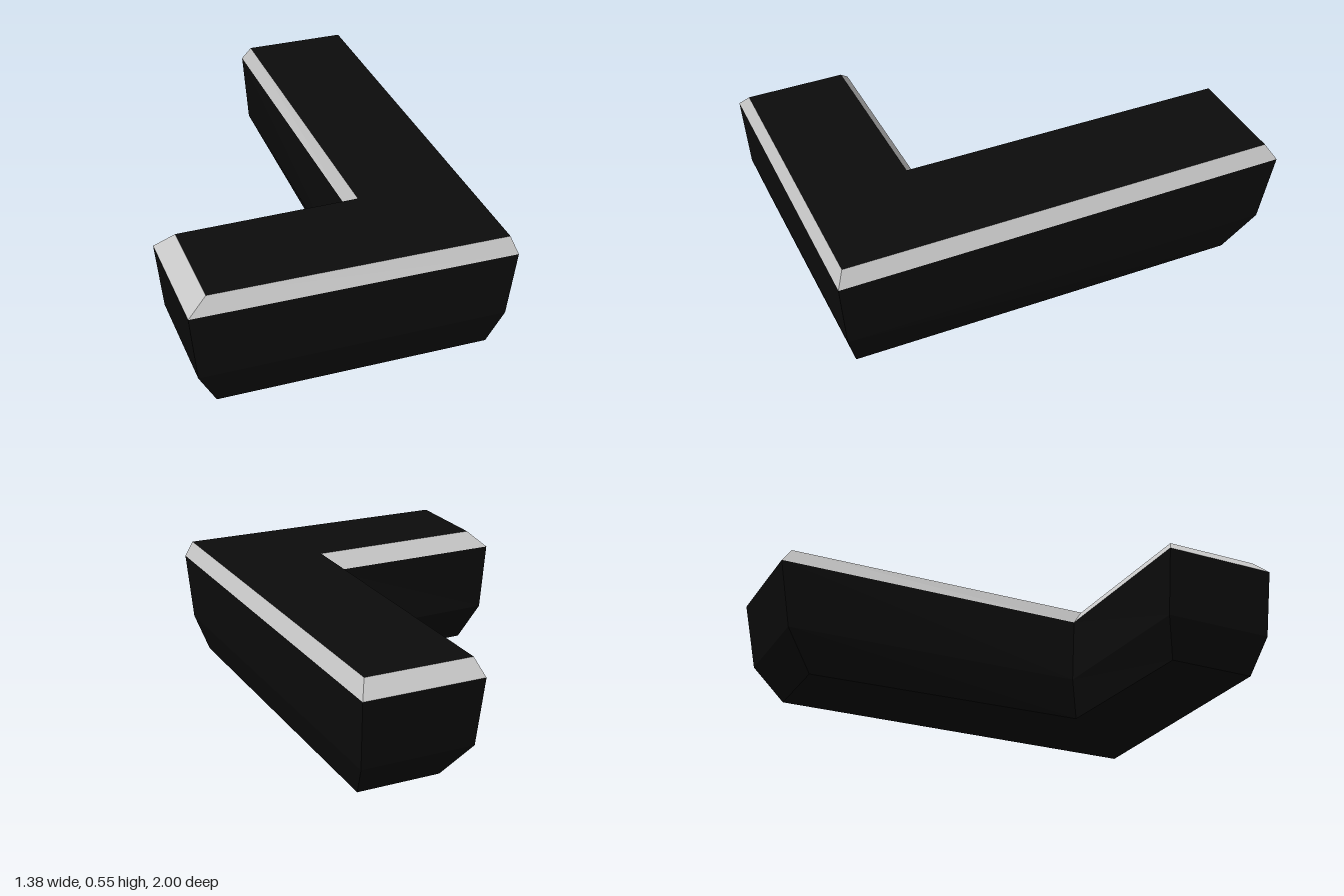
import * as THREE from 'three';

// L-shaped outlines at rising heights; each lists [x, z] in the order:
// short arm inner end, inner corner, long arm inner end,
// long arm outer end, outer corner, short arm outer end
const levels = [
  { y: 0, pts: [[-0.57, 0.53], [0.21, 0.49], [0.255, -0.81], [0.62, -0.81], [0.61, 0.93], [-0.57, 0.93]] },
  { y: 0.165, pts: [[-0.655, 0.47], [0.145, 0.44], [0.17, -0.945], [0.665, -0.945], [0.665, 0.975], [-0.655, 0.975]] },
  { y: 0.47, pts: [[-0.69, 0.47], [0.155, 0.46], [0.155, -1], [0.68, -1], [0.685, 1], [-0.69, 0.99]] },
  { y: 0.545, pts: [[-0.61, 0.525], [0.18, 0.515], [0.185, -0.95], [0.65, -0.95], [0.655, 0.97], [-0.61, 0.96]] },
];
const rings = levels.map(({ y, pts }) => pts.map(([x, z]) => [x, y, z]));

// Quad as two triangles
const quad = (a, b, c, d) => [a, b, c, a, c, d];

// Band of walls between two outlines
const band = (low, high) => low.flatMap((p, i) => {
  const j = (i + 1) % low.length;
  return quad(p, high[i], high[j], low[j]);
});

// Flat L-shaped lid made of one quad per arm
const lid = (r, faceUp) => [[0, 1, 4, 5], [1, 2, 3, 4]].flatMap((q) =>
  quad(...(faceUp ? [...q].reverse() : q).map((k) => r[k])));

function facetMesh(name, corners, color) {
  const geometry = new THREE.BufferGeometry();
  geometry.setAttribute('position', new THREE.Float32BufferAttribute(corners.flat(), 3));
  geometry.computeVertexNormals();
  const mesh = new THREE.Mesh(geometry, new THREE.MeshStandardMaterial({ color, flatShading: true }));
  mesh.name = name;
  return mesh;
}

export function createModel() {
  const group = new THREE.Group();
  group.name = 'cornerBlock';
  const dark = 0x0c0c0c;

  // Tapered underside and walls
  group.add(facetMesh('body', [
    ...lid(rings[0], false),
    ...band(rings[0], rings[1]),
    ...band(rings[1], rings[2]),
  ], dark));

  // Pale bevelled rim and dark top
  group.add(facetMesh('bevelledRim', band(rings[2], rings[3]), 0xcccccc));
  group.add(facetMesh('topSurface', lid(rings[3], true), dark));
  return group;
}
